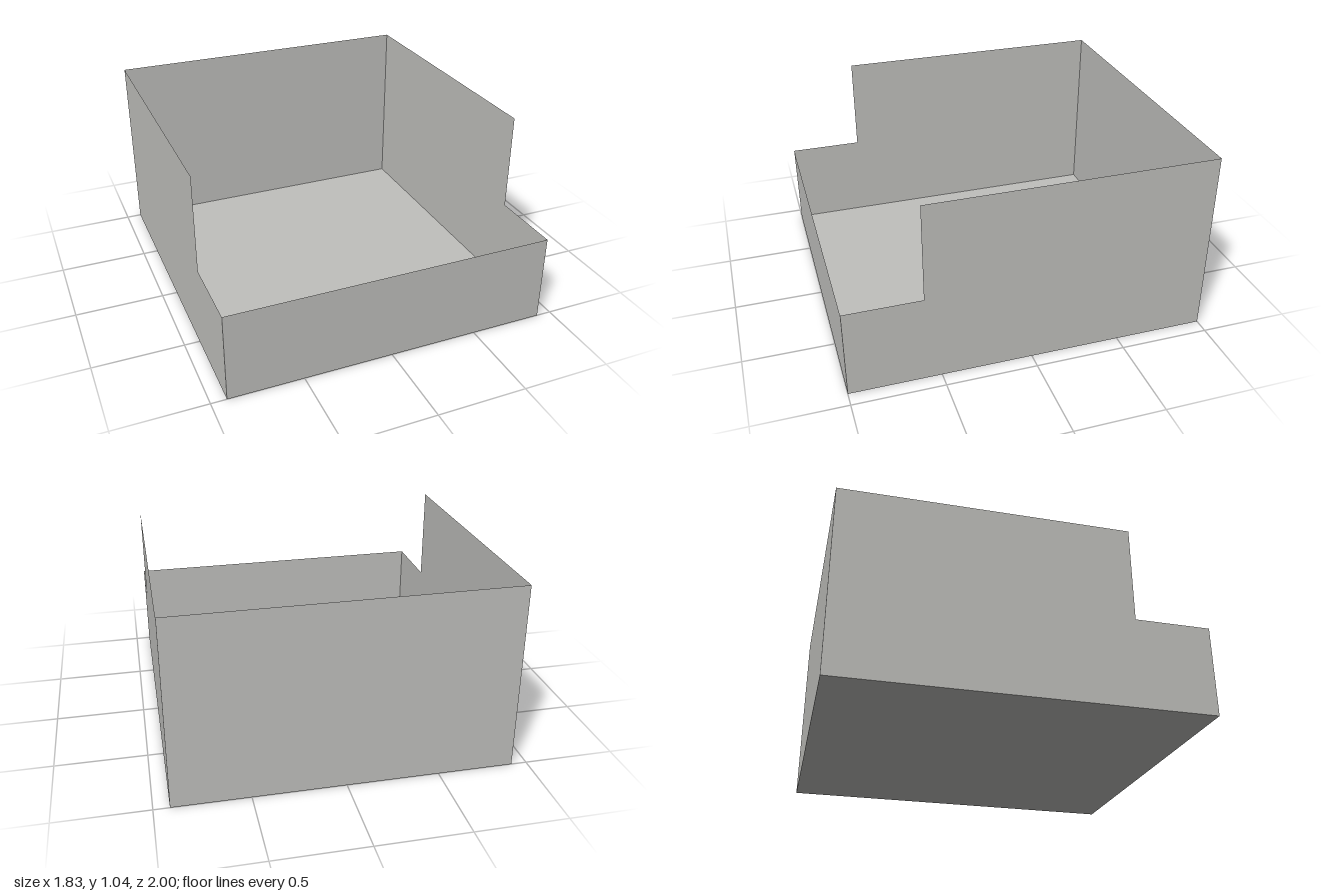
import * as THREE from 'three';

export function createModel() {
  const model = new THREE.Group();
  model.name = 'openTray';
  const grey = new THREE.MeshStandardMaterial({ color: 0xc0c0bd, side: THREE.DoubleSide });
  grey.name = 'warm grey';

  const halfWidth = 0.915, halfDepth = 1, height = 1.045, frontHeight = 0.5, stepZ = 0.583;

  const add = (name, geometry) => {
    const mesh = new THREE.Mesh(geometry, grey);
    mesh.name = name;
    model.add(mesh);
  };

  // Floor sheet
  add('floor', new THREE.PlaneGeometry(halfWidth * 2, halfDepth * 2).rotateX(-Math.PI / 2));

  // Low front wall and tall back wall
  add('frontWall', new THREE.PlaneGeometry(halfWidth * 2, frontHeight)
    .translate(0, frontHeight / 2, halfDepth));
  add('backWall', new THREE.PlaneGeometry(halfWidth * 2, height)
    .rotateY(Math.PI).translate(0, height / 2, -halfDepth));

  // Stepped side profile, drawn with shape x running from front to back
  const profile = new THREE.Shape([
    [-halfDepth, 0], [halfDepth, 0], [halfDepth, height],
    [-stepZ, height], [-stepZ, frontHeight], [-halfDepth, frontHeight],
  ].map(([x, y]) => new THREE.Vector2(x, y)));

  // Matching side walls
  for (const [name, side] of [['leftWall', 1], ['rightWall', -1]]) {
    add(name, new THREE.ShapeGeometry(profile)
      .rotateY(Math.PI / 2).translate(side * halfWidth, 0, 0));
  }
  return model;
}
